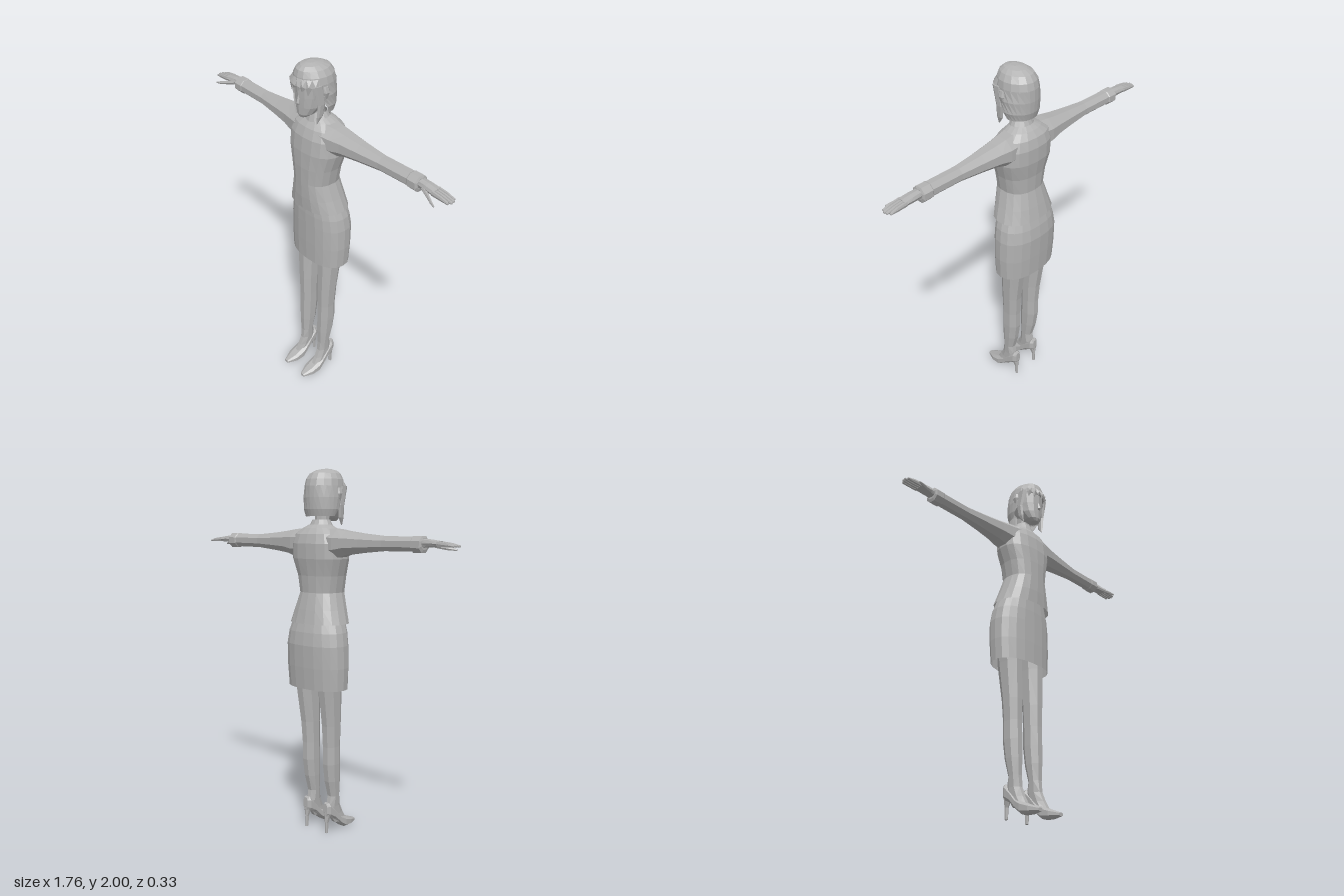
import * as THREE from 'three';

const grey = new THREE.MeshStandardMaterial({ color: 0xb2b2b2, flatShading: true, side: THREE.DoubleSide });
grey.name = 'plain grey';

// Skin oval cross-sections along an axis.
// Ring: [t, aMin, aMax, bMin, bMax, frontGapDegrees]; (a, b) is (x, z) for 'y', (y, z) for 'x', (x, y) for 'z'.
function loft(axis, rings, { sides = 12, caps = true, power = 1, turn = 0 } = {}) {
  const pos = [], idx = [], row = sides + 1;
  const put = (t, a, b) => pos.push(...(axis === 'y' ? [a, t, b] : axis === 'x' ? [t, a, b] : [a, b, t]));
  const bend = v => Math.sign(v) * Math.abs(v) ** power;
  const sign = axis === 'y' ? -1 : 1;
  for (const [t, a0, a1, b0, b1, gap = 0] of rings) {
    const start = -90 + gap + turn, span = 360 - 2 * gap;
    for (let j = 0; j <= sides; j++) {
      const k = THREE.MathUtils.degToRad(start + span * j / sides);
      put(t, (a0 + a1) / 2 + (a1 - a0) / 2 * bend(Math.cos(k)),
        (b0 + b1) / 2 + sign * (b1 - b0) / 2 * bend(Math.sin(k)));
    }
  }
  for (let i = 0; i < rings.length - 1; i++) {
    for (let j = 0; j < sides; j++) {
      const p = i * row + j, q = p + row;
      idx.push(p, p + 1, q, p + 1, q + 1, q);
    }
  }
  if (caps) {
    for (const end of [0, rings.length - 1]) {
      const [t, a0, a1, b0, b1] = rings[end], c = pos.length / 3;
      put(t, (a0 + a1) / 2, (b0 + b1) / 2);
      for (let j = 0; j < sides; j++) {
        const p = end * row + j;
        idx.push(...(end ? [p, p + 1, c] : [p + 1, p, c]));
      }
    }
  }
  return surface(pos, idx);
}

function surface(pos, idx) {
  const g = new THREE.BufferGeometry();
  g.setAttribute('position', new THREE.Float32BufferAttribute(pos, 3));
  g.setIndex(idx);
  g.computeVertexNormals();
  return g;
}

// Flip a geometry across x and restore its winding.
function mirrored(g) {
  const m = g.clone(), a = m.index.array;
  m.scale(-1, 1, 1);
  for (let i = 0; i < a.length; i += 3) [a[i], a[i + 1]] = [a[i + 1], a[i]];
  m.computeVertexNormals();
  return m;
}

export function createModel() {
  const model = new THREE.Group();
  model.name = 'woman';
  const add = (name, g) => {
    const m = new THREE.Mesh(g, grey);
    m.name = name;
    model.add(m);
  };
  const pair = (name, g) => {
    add(name + 'Left', g);
    add(name + 'Right', mirrored(g));
  };
  // Symmetric ring: height, half width, back z, front z
  const sym = list => list.map(([y, w, z0, z1, gap]) => [y, -w, w, z0, z1, gap]);

  // Clothes
  add('skirt', loft('y', sym([
    [0.83, 0.185, -0.155, 0.06], [0.95, 0.191, -0.163, 0.062], [1.07, 0.189, -0.168, 0.063],
    [1.14, 0.178, -0.16, 0.063], [1.22, 0.15, -0.14, 0.06],
  ]), { sides: 20, caps: false, power: 0.85 }));
  add('jacket', loft('y', sym([
    [1.185, 0.173, -0.158, 0.085], [1.26, 0.148, -0.143, 0.09], [1.35, 0.121, -0.122, 0.092],
    [1.44, 0.137, -0.127, 0.093], [1.53, 0.165, -0.142, 0.09], [1.61, 0.165, -0.143, 0.08],
    [1.66, 0.145, -0.13, 0.06], [1.69, 0.1, -0.105, 0.035], [1.71, 0.06, -0.08, 0.02],
  ]), { sides: 18, caps: false, power: 0.85 }));
  add('collar', loft('y', sym([
    [1.685, 0.078, -0.09, 0.04], [1.735, 0.05, -0.066, 0.022],
  ]), { sides: 14, caps: false }));

  // Sleeves, with a raised cuff
  pair('sleeve', loft('x', [
    [0.08, 1.53, 1.697, -0.115, 0.06], [0.15, 1.53, 1.69, -0.115, 0.045], [0.21, 1.55, 1.68, -0.107, 0.033],
    [0.31, 1.563, 1.668, -0.095, 0.018], [0.45, 1.577, 1.656, -0.082, 0.0], [0.63, 1.579, 1.657, -0.084, -0.003],
    [0.635, 1.574, 1.66, -0.089, 0.0], [0.685, 1.573, 1.66, -0.089, 0.0], [0.69, 1.59, 1.648, -0.076, -0.012],
  ], { sides: 8, turn: 22.5 }));

  // Hands: palm, four fingers and a thumb
  pair('palm', loft('x', [
    [0.67, 1.6, 1.645, -0.07, -0.02], [0.73, 1.605, 1.642, -0.074, -0.015], [0.785, 1.607, 1.635, -0.075, -0.012],
  ], { sides: 8, power: 0.7 }));
  for (let i = 0; i < 4; i++) {
    const z = -0.075 + i * 0.0157, end = [0.868, 0.878, 0.88, 0.872][i];
    pair('finger' + (i + 1), loft('x', [
      [0.775, 1.608, 1.634, z, z + 0.0165], [0.83, 1.606, 1.627, z, z + 0.0155],
      [end, 1.606, 1.616, z + 0.002, z + 0.014],
    ], { sides: 6, power: 0.7 }));
  }
  pair('thumb', loft('x', [
    [0.715, 1.605, 1.63, -0.035, -0.014], [0.76, 1.595, 1.617, -0.018, 0.002],
    [0.795, 1.589, 1.608, 0.001, 0.017], [0.828, 1.588, 1.597, 0.019, 0.026],
  ], { sides: 6 }));

  // Legs
  pair('leg', loft('y', [
    [0.05, 0.048, 0.108, -0.01, 0.09], [0.1, 0.048, 0.104, -0.045, 0.062], [0.15, 0.045, 0.104, -0.055, 0.04],
    [0.21, 0.042, 0.108, -0.042, 0.033], [0.3, 0.036, 0.116, -0.066, 0.036], [0.4, 0.033, 0.121, -0.08, 0.035],
    [0.5, 0.033, 0.121, -0.08, 0.033], [0.62, 0.031, 0.127, -0.088, 0.035], [0.83, 0.028, 0.138, -0.118, 0.036],
    [1.0, 0.02, 0.15, -0.13, 0.04],
  ], { sides: 8, turn: 22.5 }));

  // Shoes with tall heels: [z, half width, bottom, top]
  const shoe = [
    [-0.074, 0.016, 0.1, 0.175], [-0.055, 0.03, 0.09, 0.178], [-0.015, 0.033, 0.072, 0.135],
    [0.025, 0.037, 0.033, 0.09], [0.06, 0.043, 0.006, 0.072], [0.11, 0.039, 0.005, 0.05], [0.165, 0.015, 0.01, 0.028],
  ].map(([z, w, y0, y1]) => [z, 0.076 - w, 0.076 + w, y0, y1]);
  pair('shoe', loft('z', shoe, { sides: 8, turn: 22.5, power: 0.7 }));
  pair('heel', loft('y', [
    [0, 0.067, 0.085, -0.073, -0.053], [0.06, 0.066, 0.086, -0.073, -0.05], [0.125, 0.05, 0.102, -0.076, -0.025],
  ], { sides: 6 }));

  // Neck and head
  add('neck', loft('y', sym([
    [1.67, 0.046, -0.06, 0.025], [1.73, 0.04, -0.055, 0.025], [1.81, 0.042, -0.055, 0.035],
  ]), { sides: 10 }));
  add('head', loft('y', sym([
    [1.728, 0.02, 0.045, 0.092], [1.745, 0.045, 0.0, 0.1], [1.785, 0.07, -0.045, 0.102], [1.84, 0.083, -0.08, 0.104],
    [1.9, 0.088, -0.09, 0.104], [1.95, 0.08, -0.08, 0.09], [1.98, 0.045, -0.05, 0.06],
  ]), { sides: 14 }));
  add('nose', loft('y', sym([
    [1.8, 0.008, 0.09, 0.109], [1.807, 0.01, 0.09, 0.116], [1.85, 0.005, 0.09, 0.104],
  ]), { sides: 5 }));
  pair('ear', loft('y', [
    [1.83, 0.085, 0.1, 0.0, 0.02], [1.87, 0.088, 0.114, -0.008, 0.03], [1.9, 0.09, 0.106, -0.005, 0.028],
  ], { sides: 6 }));

  // Hair: crown, back curtain, fringe points and side locks
  add('hairCrown', loft('y', sym([
    [1.905, 0.1, -0.112, 0.114], [1.945, 0.093, -0.102, 0.11], [1.975, 0.075, -0.082, 0.1],
    [1.992, 0.05, -0.045, 0.08], [2.0, 0.02, 0.0, 0.045],
  ]), { sides: 16 }));
  add('hairBack', loft('y', sym([
    [1.752, 0.09, -0.098, 0.06, 88], [1.79, 0.102, -0.109, 0.08, 78], [1.85, 0.105, -0.113, 0.1, 60],
    [1.91, 0.1, -0.112, 0.114, 40],
  ]), { sides: 16, caps: false }));

  // Each fringe point is a wedge hanging from the crown.
  const fringe = [], faces = [];
  const onBrow = (deg, y, out) => {
    const k = THREE.MathUtils.degToRad(deg);
    fringe.push(Math.sin(k) * (0.1 + out), y, 0.001 + Math.cos(k) * (0.115 + out));
  };
  const drops = [1.835, 1.872, 1.862, 1.882, 1.866, 1.878, 1.86, 1.83];
  drops.forEach((y, i) => {
    const a = -64 + i * 16, n = fringe.length / 3;
    onBrow(a, 1.94, -0.006);
    onBrow(a + 16, 1.94, -0.006);
    onBrow(a, 1.9, 0.004);
    onBrow(a + 16, 1.9, 0.004);
    onBrow(a + 8, 1.91, 0.012);
    onBrow(a + 5, y, 0.002);
    faces.push(...[0, 2, 4, 0, 4, 1, 1, 4, 3, 2, 5, 4, 4, 5, 3].map(v => n + v));
  });
  add('fringe', surface(fringe, faces));
  pair('sideLock', loft('y', [
    [1.705, 0.076, 0.08, 0.05, 0.056], [1.745, 0.078, 0.094, 0.02, 0.06], [1.81, 0.083, 0.101, 0.01, 0.058],
    [1.91, 0.078, 0.1, 0.02, 0.085],
  ], { sides: 6 }));
  return model;
}
